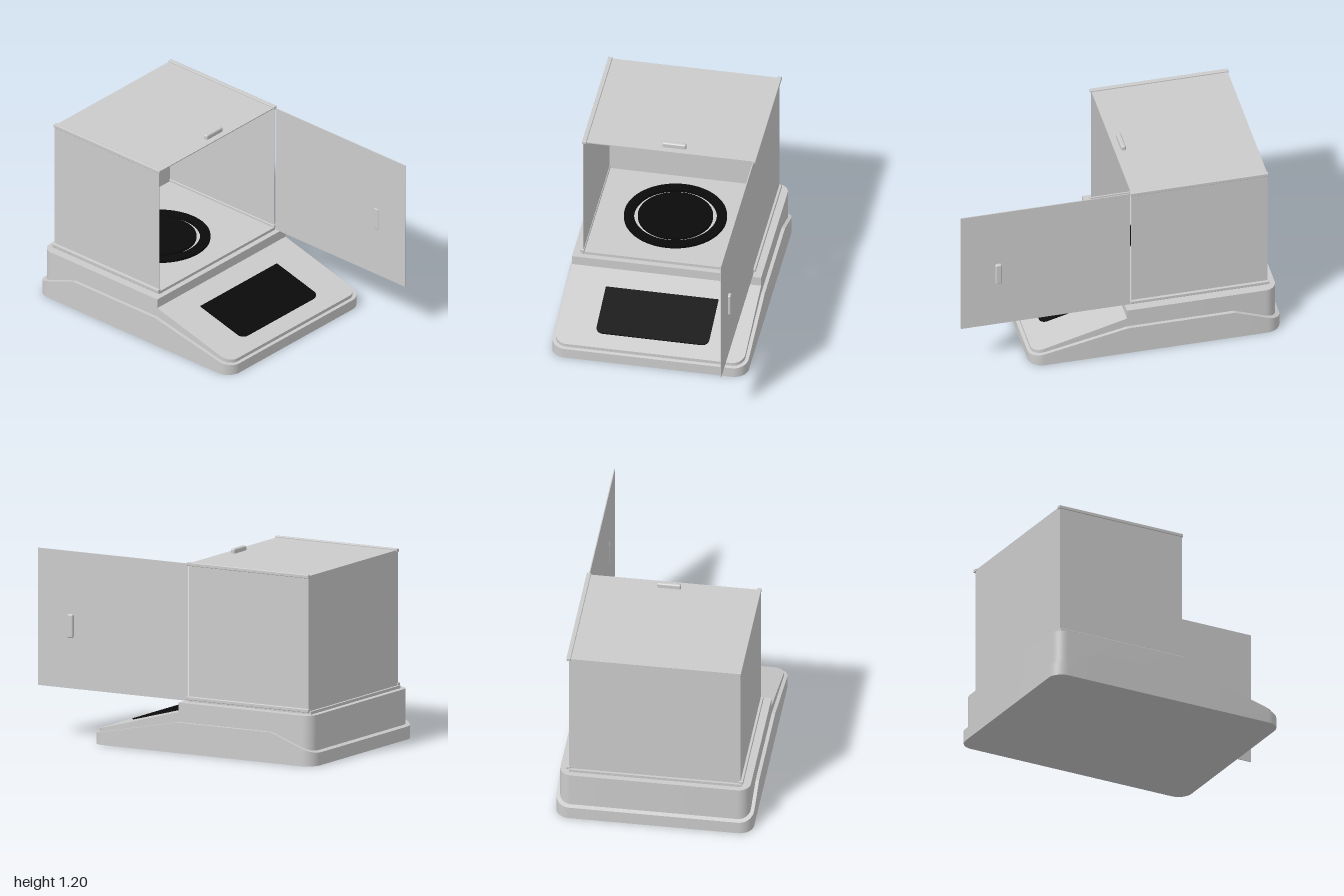
import * as THREE from 'three';
import { toCreasedNormals } from 'three/addons/utils/BufferGeometryUtils.js';
import { RoundedBoxGeometry } from 'three/addons/geometries/RoundedBoxGeometry.js';

const grey = new THREE.MeshStandardMaterial({ color: 0xcccccc });
const black = new THREE.MeshStandardMaterial({ color: 0x0a0a0a });

function add(parent, name, geometry, material = grey) {
  const mesh = new THREE.Mesh(geometry, material);
  mesh.name = name;
  parent.add(mesh);
  return mesh;
}

// Box given by its lower and upper corners; a radius rounds its edges.
function box(parent, name, lo, hi, radius = 0) {
  const s = hi.map((v, i) => v - lo[i]);
  const geo = radius ? new RoundedBoxGeometry(...s, 3, radius) : new THREE.BoxGeometry(...s);
  const mesh = add(parent, name, geo);
  mesh.position.set(...hi.map((v, i) => (v + lo[i]) / 2));
  return mesh;
}

// Solid with a rounded-rectangle plan whose top follows a profile of [x, y] points.
function slab(profile, halfZ, r, floorY) {
  const n = profile.length;
  const onLine = ([xa, ya], [xb, yb], x) => ya + ((yb - ya) * (x - xa)) / (xb - xa);
  const steps = 10, first = [], last = [];
  for (let i = 0; i <= steps; i++) {
    const t = (i / steps) * Math.PI / 2;
    const dx = r * (1 - Math.cos(t)), w = halfZ - r + r * Math.sin(t);
    const xl = profile[0][0] + dx, xr = profile[n - 1][0] - dx;
    first.push([xl, onLine(profile[0], profile[1], xl), w]);
    last.unshift([xr, onLine(profile[n - 2], profile[n - 1], xr), w]);
  }
  const stations = [...first, ...profile.slice(1, -1).map(([x, y]) => [x, y, halfZ]), ...last];
  const loops = stations.map(([x, y, w]) =>
    [[floorY, w], [y, w], [y, -w], [floorY, -w]].map(([py, pz]) => new THREE.Vector3(x, py, pz)));

  const pos = [];
  const tri = (a, b, c) => {
    const area = b.clone().sub(a).cross(c.clone().sub(a)).length();
    if (area > 1e-9) for (const p of [a, b, c]) pos.push(p.x, p.y, p.z);
  };
  const quad = (a, b, c, d) => { tri(a, b, c); tri(a, c, d); };
  for (let s = 0; s < loops.length - 1; s++) {
    const a = loops[s], b = loops[s + 1];
    for (let i = 0; i < 4; i++) quad(a[i], b[i], b[(i + 1) % 4], a[(i + 1) % 4]);
  }
  quad(...loops[0]);
  quad(...loops[loops.length - 1].slice().reverse());
  const geo = new THREE.BufferGeometry();
  geo.setAttribute('position', new THREE.Float32BufferAttribute(pos, 3));
  return toCreasedNormals(geo, 0.2);
}

export function createModel() {
  const model = new THREE.Group();
  model.name = 'laboratoryBalance';

  // Base skirt and the stepped housing inside it
  add(model, 'baseSkirt', slab([[-1, 0.08], [-0.7, 0.19], [-0.03, 0.19], [0.58, 0.065]], 0.61, 0.09, 0));
  add(model, 'housing', slab([[-0.975, 0.31], [-0.03, 0.31], [-0.03, 0.25], [0.56, 0.09]], 0.588, 0.075, 0.02));

  // Display, rounded at its outer corners and lying on the slope
  const slope = Math.atan2(0.16, 0.59), len = 0.345 / Math.cos(slope), r = 0.045;
  const outline = new THREE.Shape();
  outline.moveTo(0, -0.35);
  outline.lineTo(len - r, -0.35);
  outline.absarc(len - r, -0.35 + r, r, -Math.PI / 2, 0);
  outline.absarc(len - r, 0.35 - r, r, 0, Math.PI / 2);
  outline.lineTo(0, 0.35);
  const screenGeo = new THREE.ExtrudeGeometry(outline, { depth: 0.008, bevelEnabled: false, curveSegments: 8 });
  screenGeo.rotateX(-Math.PI / 2).rotateZ(-slope);
  add(model, 'display', screenGeo, black).position.set(0.11, 0.211, 0);

  // Weighing chamber floor and pan
  const chamber = new THREE.Group();
  chamber.name = 'draftShield';
  model.add(chamber);
  box(chamber, 'chamberFloor', [-0.94, 0.305, -0.53], [-0.065, 0.328, 0.535]);

  const pan = new THREE.Group();
  pan.name = 'pan';
  pan.position.set(-0.51, 0.328, 0.035);
  model.add(pan);
  const ring = new THREE.Shape().absarc(0, 0, 0.315, 0, Math.PI * 2);
  ring.holes.push(new THREE.Path().absarc(0, 0, 0.253, 0, Math.PI * 2, true));
  const ringGeo = new THREE.ExtrudeGeometry(ring, { depth: 0.016, bevelEnabled: false, curveSegments: 48 });
  add(pan, 'panRing', ringGeo.rotateX(-Math.PI / 2), black);
  add(pan, 'panDisc', new THREE.CylinderGeometry(0.23, 0.23, 0.016, 64), black).position.y = 0.008;

  // Glass panels: the right side stays open
  const x0 = -0.925, x1 = -0.07, y0 = 0.318, y1 = 1.168, t = 0.006;
  box(chamber, 'frontPanel', [x0, y0, 0.522], [x1, y1, 0.522 + t]);
  box(chamber, 'backPanel', [x0, y0, -0.532], [x1, y1, -0.532 + t]);
  box(chamber, 'leftPanel', [x0, y0, -0.53], [x0 + t, y1, 0.527]);
  box(chamber, 'topPanel', [x0, y1 - t, -0.53], [x1, y1, 0.527]);

  // Rails along the front and back edges
  const rails = [
    ['frontTopRail', 1.155, 0.505], ['backTopRail', 1.155, -0.547],
    ['frontBottomRail', 0.322, 0.517], ['backBottomRail', 0.322, -0.547],
  ];
  for (const [name, y, z] of rails) box(chamber, name, [-0.93, y, z], [-0.063, y + 0.022, z + 0.027], 0.004);

  // Top panel handle
  box(chamber, 'topHandle', [-0.14, 1.158, -0.105], [-0.11, 1.198, 0.043], 0.01);

  // Side door standing open, in line with the back panel
  const door = new THREE.Group();
  door.name = 'sideDoor';
  model.add(door);
  box(door, 'doorPanel', [-0.06, 0.315, -0.535], [1, 1.167, -0.529]);
  box(door, 'doorHandle', [0.746, 0.63, -0.553], [0.785, 0.777, -0.525], 0.009);

  return model;
}
